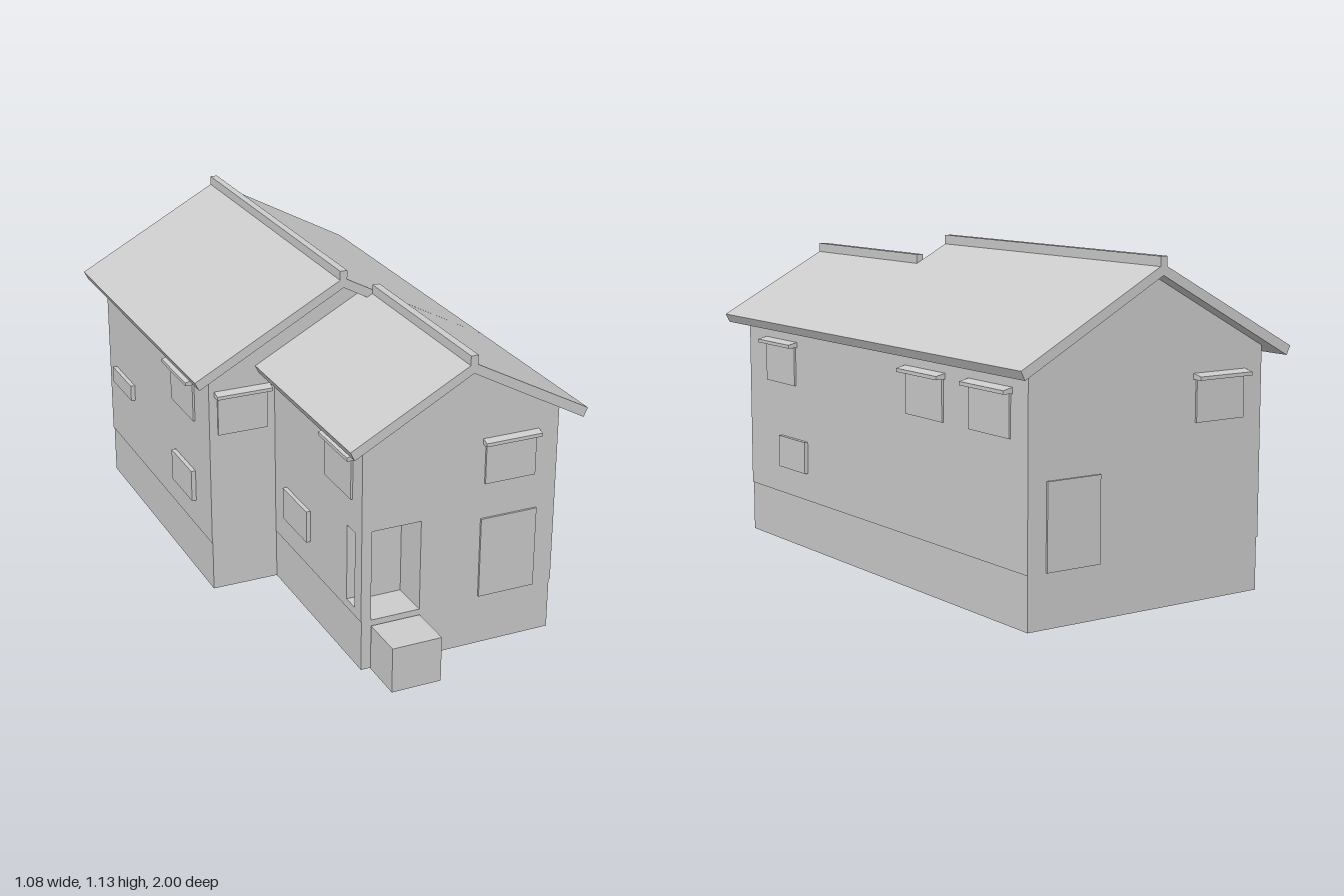
import * as THREE from 'three';

const mat = new THREE.MeshStandardMaterial({ color: 0xcccccc, side: THREE.DoubleSide });
const BASE = 0.18; // top of the plinth

function add(parent, name, geometry, x = 0, y = 0, z = 0) {
  const m = new THREE.Mesh(geometry, mat);
  m.name = name;
  m.position.set(x, y, z);
  parent.add(m);
  return m;
}

const shapeOf = (pts) => new THREE.Shape(pts.map(([x, y]) => new THREE.Vector2(x, y)));
const rect = (x0, y0, x1, y1) => [[x0, y0], [x1, y0], [x1, y1], [x0, y1]];

// Prism with an x-y outline running from z0 to z1
function prism(pts, z0, z1) {
  return new THREE.ExtrudeGeometry(shapeOf(pts), { depth: z1 - z0, bevelEnabled: false }).translate(0, 0, z0);
}

// Box between two corners, leaving out faces (0..5 = +x -x +y -y +z -z)
function openBox(a, b, skip) {
  const g = new THREE.BoxGeometry(b[0] - a[0], b[1] - a[1], b[2] - a[2]);
  const index = Array.from(g.index.array).filter((_, i) => !skip.includes(Math.floor(i / 6)));
  g.setIndex(index);
  g.clearGroups();
  return g.translate((a[0] + b[0]) / 2, (a[1] + b[1]) / 2, (a[2] + b[2]) / 2);
}

// Group whose local x runs along the wall and local z points outward
function wallFrame(parent, name, from, to) {
  const g = new THREE.Group();
  g.name = name;
  g.position.set(from[0], 0, from[1]);
  g.rotation.y = Math.atan2(from[1] - to[1], to[0] - from[0]);
  parent.add(g);
  return g;
}

// Raised window panel, with an optional sloping canopy of depth `canopy`
function addWindow(wall, u0, u1, y0, y1, depth, canopy = 0) {
  add(wall, 'window', new THREE.BoxGeometry(u1 - u0, y1 - y0, depth + 0.01),
    (u0 + u1) / 2, (y0 + y1) / 2, (depth - 0.01) / 2);
  if (!canopy) return;
  // profile drawn as (outward, height), then turned to run along the wall
  const over = 0.01, len = u1 - u0 + 2 * over;
  const g = prism([[-0.005, y1], [canopy, y1], [canopy, y1 + 0.012], [-0.005, y1 + 0.021]], 0, len);
  g.rotateY(-Math.PI / 2);
  add(wall, 'windowCanopy', g, u1 + over, 0, 0);
}

export function createModel() {
  const house = new THREE.Group();
  house.name = 'house';

  // Undersides of the two roofs, used as wall tops
  const rearTop = (x) => 1.077 - 0.543 * Math.abs(x);
  const frontTop = (x) => 1.012 - 0.543 * Math.abs(x - 0.12);
  const eave = rearTop(0.47);

  // Footprint, walked so that each wall faces outward
  const corners = [[-0.23, 0.84], [0.47, 0.84], [0.47, -0.94], [-0.47, -0.94], [-0.47, 0.14], [-0.23, 0.14]];
  const names = ['frontWall', 'rightSideWall', 'backWall', 'leftSideWall', 'rearBlockFrontWall', 'frontBlockSideWall'];
  const e = 0.003; // plinth set-back
  const plinth = [[-0.23 + e, 0.84 - e], [0.47 - e, 0.84 - e], [0.47 - e, -0.94 + e],
    [-0.47 + e, -0.94 + e], [-0.47 + e, 0.14 - e], [-0.23 + e, 0.14 - e]];

  // Wall outlines in wall coordinates
  const outlines = [
    // front gable, notched for the entrance
    [[0, BASE], [0.035, BASE], [0.035, 0.5], [0.21, 0.5], [0.21, BASE], [0.7, BASE],
      [0.7, frontTop(0.47)], [0.35, frontTop(0.12)], [0, frontTop(-0.23)]],
    rect(0, BASE, 1.78, eave),
    [[0, BASE], [0.94, BASE], [0.94, eave], [0.47, rearTop(0)], [0, eave]],
    rect(0, BASE, 1.08, eave),
    // rear block gable showing beside and above the front roof
    [[0, BASE], [0.24, BASE], [0.24, frontTop(-0.23)], [0.59, frontTop(0.12)], [0.47, rearTop(0)], [0, eave]],
    rect(0, BASE, 0.7, frontTop(-0.23)),
  ];
  const slot = [0.21, 0.48, 0.73, 0.79]; // side light: y0, y1, z0, z1

  const walls = outlines.map((pts, i) => {
    const frame = wallFrame(house, names[i], corners[i], corners[(i + 1) % 6]);
    const shape = shapeOf(pts);
    if (i === 5) shape.holes.push(shapeOf(rect(slot[2] - 0.14, slot[0], slot[3] - 0.14, slot[1])));
    add(frame, names[i] + 'Panel', new THREE.ShapeGeometry(shape));

    const a = plinth[i], b = plinth[(i + 1) % 6];
    const base = wallFrame(house, 'plinth', a, b);
    const len = Math.hypot(b[0] - a[0], b[1] - a[1]);
    add(base, 'plinthPanel', new THREE.ShapeGeometry(shapeOf(rect(0, 0, len, BASE))));
    return frame;
  });
  const [front, right, back, left, rearFront, frontSide] = walls;

  // Upper windows with canopies: [wall, start, end, canopy depth]
  [
    [front, 0.435, 0.618, 0.025],
    [right, 0.14, 0.35, 0.035], [right, 1.1, 1.32, 0.035], [right, 1.47, 1.69, 0.035],
    [back, 0.66, 0.86, 0.035],
    [left, 0.72, 0.94, 0.035],
    [rearFront, 0.03, 0.212, 0.03],
    [frontSide, 0.43, 0.63, 0.025],
  ].forEach(([wall, u0, u1, c]) => addWindow(wall, u0, u1, 0.59, 0.73, 0.007, c));

  // Lower windows
  addWindow(right, 0.24, 0.43, 0.28, 0.395, 0.014);
  addWindow(left, 0.73, 0.93, 0.28, 0.395, 0.016);
  addWindow(left, 0.08, 0.29, 0.41, 0.47, 0.016);
  addWindow(frontSide, 0.1, 0.3, 0.28, 0.395, 0.015);

  // Tall panels reaching down to the plinth
  addWindow(front, 0.425, 0.63, BASE, 0.465, 0.007);
  addWindow(back, 0.07, 0.275, BASE, 0.465, 0.007);

  // Recessed entrance with a side light opening through the left wall
  add(house, 'entranceRecess', openBox([-0.195, BASE, 0.7], [-0.02, 0.5, 0.84], [1, 4]));
  const cheek = shapeOf(rect(0.7, BASE, 0.84, 0.5));
  cheek.holes.push(shapeOf(rect(slot[2], slot[0], slot[3], slot[1])));
  add(house, 'entranceSideWall', new THREE.ShapeGeometry(cheek).rotateY(-Math.PI / 2), -0.195);
  add(house, 'sideLightReveal', openBox([-0.23, slot[0], slot[2]], [-0.195, slot[1], slot[3]], [0, 1]));

  // Entrance step
  add(house, 'entranceStep', openBox([-0.195, 0, 0.842], [-0.02, 0.16, 1], [3]));

  // Roofs: the right-hand slope runs on in one plane
  add(house, 'rearRoof', prism([[-0.54, 0.82], [-0.525, 0.79], [0, 1.075], [0.525, 0.79], [0.54, 0.82], [0, 1.11]], -1, 0.2));
  add(house, 'frontRoofLeft', prism([[-0.3, 0.82], [-0.285, 0.79], [0.12, 1.01], [0.12, 1.045]], 0.14, 0.9));
  add(house, 'frontRoofRight', prism([[0.12, 1.045], [0.12, 1.01], [0.525, 0.79], [0.54, 0.82]], 0.2, 0.9));

  // Ridge caps
  add(house, 'rearRidgeCap', new THREE.BoxGeometry(0.026, 0.04, 1.2), 0, 1.115, -0.4);
  add(house, 'frontRidgeCap', new THREE.BoxGeometry(0.026, 0.04, 0.7), 0.12, 1.05, 0.55);

  return house;
}
